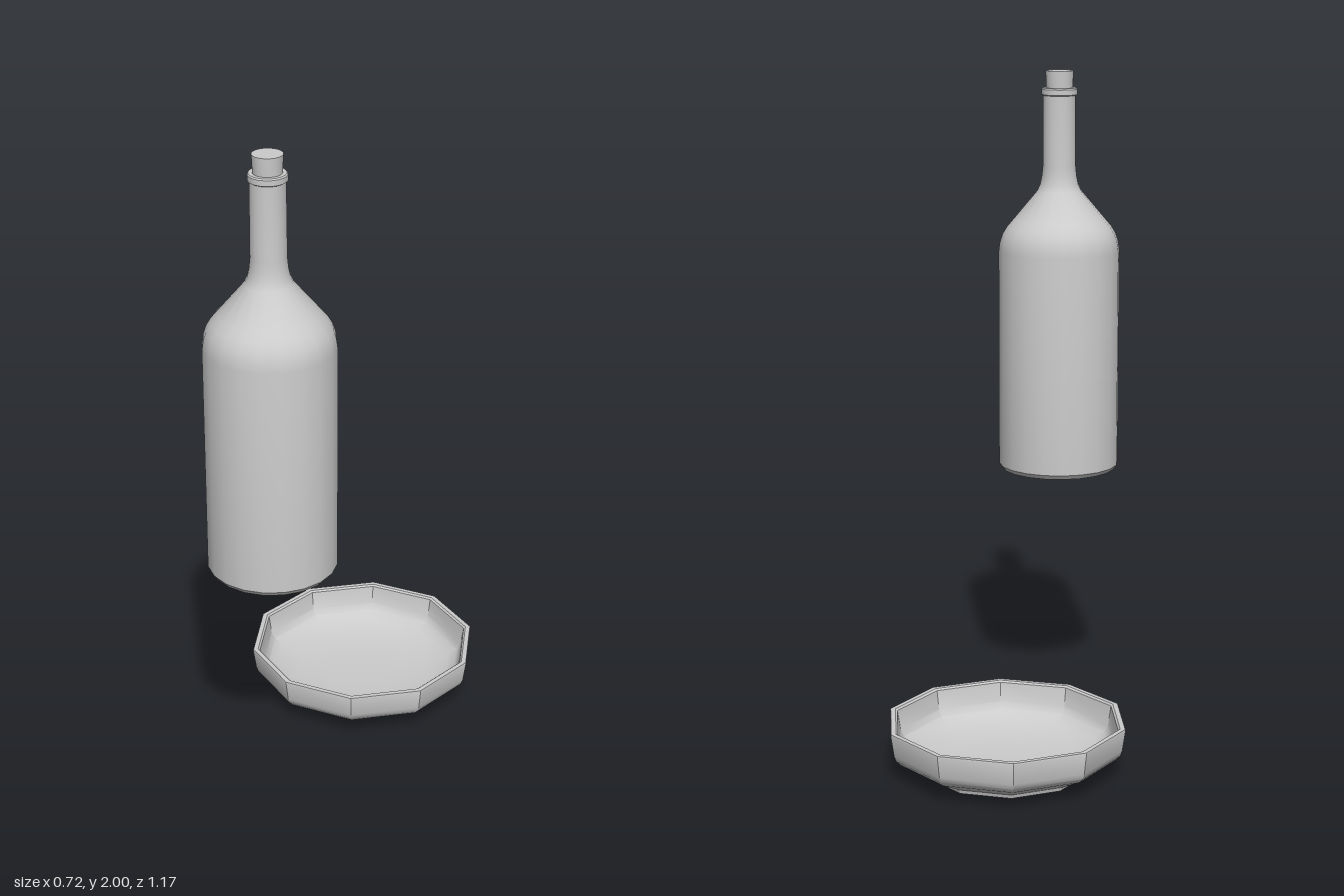
import * as THREE from 'three';
import { toCreasedNormals } from 'three/addons/utils/BufferGeometryUtils.js';

const material = new THREE.MeshStandardMaterial({ color: 0xcccccc });

// Turned part from [radius, height] pairs, listed bottom to top on the outside
function turned(name, profile, sides, crease, z) {
  const points = profile.map(([r, y]) => new THREE.Vector2(r, y));
  const lathe = new THREE.LatheGeometry(points, sides, Math.PI / 2);
  const mesh = new THREE.Mesh(toCreasedNormals(lathe, THREE.MathUtils.degToRad(crease)), material);
  mesh.name = name;
  mesh.position.z = z;
  return mesh;
}

export function createModel() {
  const group = new THREE.Group();
  group.name = 'bottleAndBowl';

  // Ten-sided bowl: foot, flared wall, bevelled rim, hollow inside
  group.add(turned('bowl', [
    [0, 0.004], [0.235, 0.004], [0.24, 0], [0.246, 0.002], [0.25, 0.014],
    [0.328, 0.053], [0.343, 0.068], [0.349, 0.085], [0.358, 0.146], [0.357, 0.151],
    [0.342, 0.151], [0.336, 0.146],
    [0.327, 0.088], [0.315, 0.068], [0.285, 0.05], [0.22, 0.03], [0.12, 0.022], [0, 0.02],
  ], 10, 33, -0.246));

  // Bottle floating in front: bevelled base, body, shoulder, neck and lip
  const bottle = new THREE.Group();
  bottle.name = 'bottle';
  bottle.add(turned('bottleBody', [
    [0, 0.763], [0.177, 0.763], [0.187, 0.777], [0.187, 1.45], [0.183, 1.478],
    [0.175, 1.502], [0.161, 1.525], [0.143, 1.546], [0.068, 1.635],
    [0.059, 1.655], [0.054, 1.68], [0.051, 1.71], [0.05, 1.925],
    [0.055, 1.928], [0.055, 1.944], [0.052, 1.948], [0.041, 1.948], [0, 1.948],
  ], 20, 30, 0.4));

  // Stopper in the mouth
  bottle.add(turned('cork', [[0, 1.93], [0.04, 1.93], [0.043, 2], [0, 2]], 20, 30, 0.4));
  group.add(bottle);
  return group;
}
